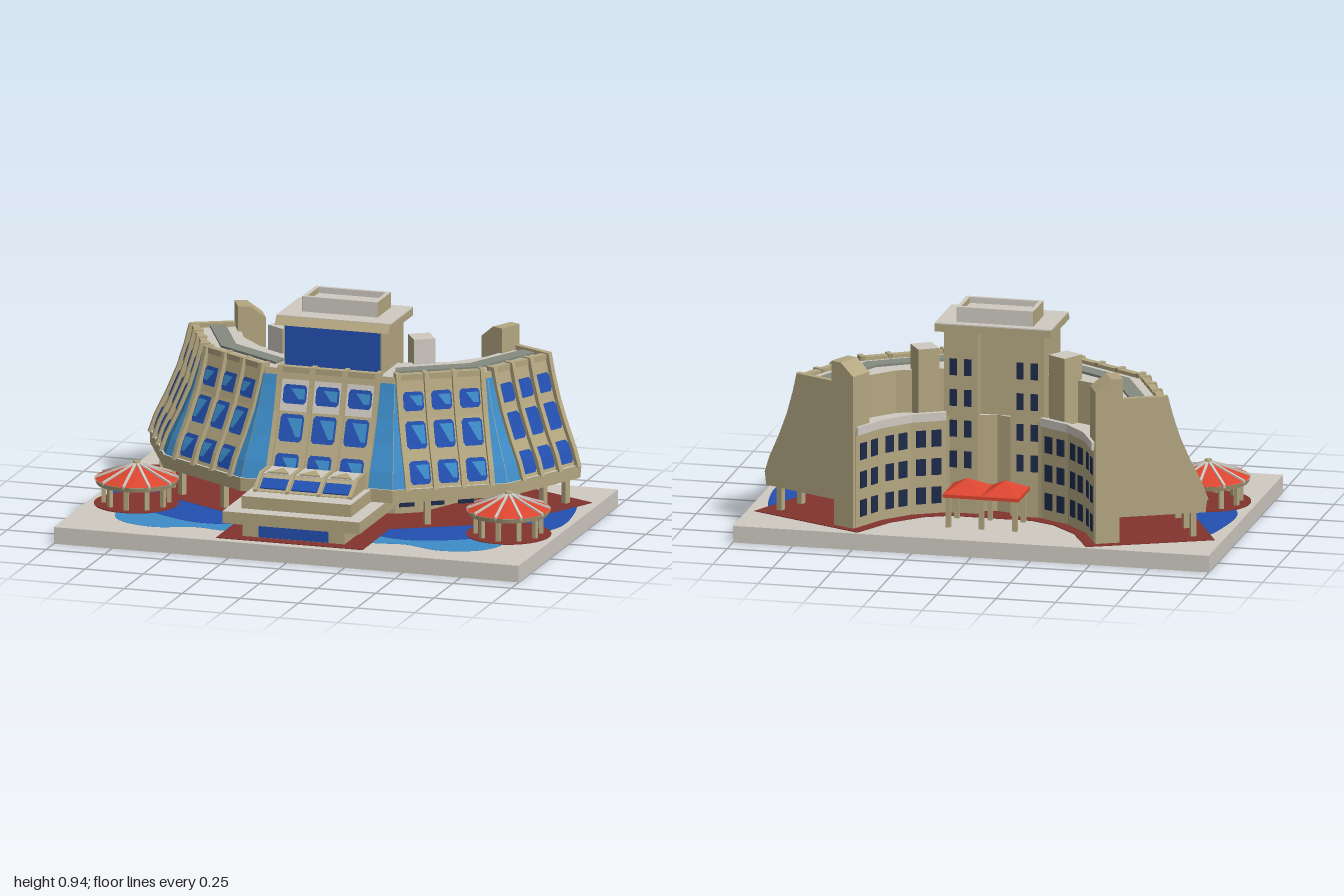
import * as THREE from 'three';

const mat = (name, color) => {
  const m = new THREE.MeshStandardMaterial({ color, side: THREE.DoubleSide });
  m.name = name;
  return m;
};

export function createModel() {
  const cream = mat('sand wall', 0xb3a680), grey = mat('pale concrete', 0xcfcac1), brick = mat('brick paving', 0x83342d),
    red = mat('red roof', 0xdb4630), blue = mat('blue glass', 0x2350b0), sky = mat('light blue glass', 0x3d8cc8),
    navy = mat('dark glass', 0x1d2a4a), slate = mat('roof walkway', 0x858b80);
  const capped = [grey, cream];
  const root = new THREE.Group();
  root.name = 'resort';

  const add = (parent, name, geo, material, x = 0, y = 0, z = 0, ry = 0) => {
    const m = new THREE.Mesh(geo, material);
    m.name = name;
    m.position.set(x, y, z);
    m.rotation.y = ry;
    parent.add(m);
    return m;
  };
  const box = (parent, name, material, x0, x1, y0, y1, z0, z1) =>
    add(parent, name, new THREE.BoxGeometry(x1 - x0, y1 - y0, z1 - z0), material, (x0 + x1) / 2, (y0 + y1) / 2, (z0 + z1) / 2);
  // Box with grey top and bottom and sand sides
  const block = (parent, name, ...d) => box(parent, name, [cream, cream, grey, grey, cream, cream], ...d);
  const shapeOf = (pts) => new THREE.Shape(pts.map((p) => new THREE.Vector2(p[0], p[1])));
  // Vertical prism over an x,z plan
  const slab = (parent, name, material, plan, y0, y1) => {
    const s = plan instanceof THREE.Shape ? plan : shapeOf(plan);
    const g = new THREE.ExtrudeGeometry(s, { depth: y1 - y0, bevelEnabled: false });
    return add(parent, name, g.rotateX(Math.PI / 2).translate(0, y1, 0), material);
  };
  // Upright plate cut from a depth,height profile
  const fin = (parent, name, material, pts, t, width) => {
    const g = new THREE.ExtrudeGeometry(shapeOf(pts), { depth: width, bevelEnabled: false });
    return add(parent, name, g.rotateY(-Math.PI / 2).translate(t + width / 2, 0, 0), material);
  };

  // Flared facade: outward offset by height
  const ys = [0.23, 0.3, 0.4, 0.5, 0.6, 0.68], offs = [0.17, 0.145, 0.095, 0.052, 0.02, 0];
  const off = (y) => {
    let i = 0;
    while (i < 4 && y > ys[i + 1]) i++;
    return offs[i] + (offs[i + 1] - offs[i]) * (y - ys[i]) / (ys[i + 1] - ys[i]);
  };
  const bays = [
    { a: 0, d: 0.075, t: 0, half: 0.21 },
    { a: 0.559, d: 0.21, t: 0.384, half: 0.178 },
    { a: 1.117, d: 0.485, t: 0.575, half: 0.16 },
  ];
  const END = 0.74;
  const local = (b, t, d) => [Math.sin(b.a) * d + Math.cos(b.a) * t, Math.cos(b.a) * d - Math.sin(b.a) * t];
  const meet = (b, c, o, o2 = o) => {
    const p = b.d + o, q = c.d + o2, k = Math.sin(b.a - c.a);
    return [(p * Math.cos(c.a) - q * Math.cos(b.a)) / k, (Math.sin(b.a) * q - Math.sin(c.a) * p) / k];
  };
  // Front edge of the half plan, pushed out by o (outer bay by o2)
  const front = (o, end = END, o2 = o) => [[0, bays[0].d + o], meet(bays[0], bays[1], o), meet(bays[1], bays[2], o, o2), local(bays[2], end, bays[2].d + o2)];
  const tOf = (b, p) => Math.cos(b.a) * p[0] - Math.sin(b.a) * p[1];
  const bounds = (i, y) => {
    const f = front(off(y)), b = bays[i];
    return i === 0 ? [-f[1][0], f[1][0]] : [tOf(b, f[i]), tOf(b, f[i + 1])];
  };
  // Skin patch following the curved facade
  const patch = (parent, name, material, b, y0, y1, range, lift) => {
    const rows = [y0, ...ys.filter((y) => y > y0 && y < y1), y1], pos = [], idx = [];
    rows.forEach((y, i) => {
      const [l, r] = range(y), z = b.d + off(y) + lift;
      pos.push(l, y, z, r, y, z);
      if (i) idx.push(2 * i - 2, 2 * i - 1, 2 * i + 1, 2 * i - 2, 2 * i + 1, 2 * i);
    });
    const g = new THREE.BufferGeometry();
    g.setAttribute('position', new THREE.Float32BufferAttribute(pos, 3));
    g.setIndex(idx);
    const flat = g.toNonIndexed();
    flat.computeVertexNormals();
    return add(parent, name, flat, material);
  };

  const makeBay = (parent, i) => {
    const b = bays[i], g = new THREE.Group(), col = b.half * 2 / 3;
    g.name = 'facadeBay';
    g.rotation.y = b.a;
    parent.add(g);
    patch(g, 'facadeWall', cream, b, 0.23, 0.665, (y) => bounds(i, y), 0);
    if (i === 0) patch(g, 'palePanel', grey, b, 0.5, 0.625, () => [-b.half, b.half], 0.003);
    // Glazed corner wedges
    patch(g, 'cornerGlass', sky, b, 0.235, 0.64, (y) => [bounds(i, y)[0], b.t - b.half], 0.004);
    if (i < 2) patch(g, 'cornerGlass', sky, b, 0.235, 0.64, (y) => [b.t + b.half, bounds(i, y)[1]], 0.004);
    // Windows in three rows and three columns, with clipped corners
    for (let c = -1; c <= 1; c++) for (const [y0, y1] of [[0.25, 0.34], [0.385, 0.49], [0.53, 0.605]]) {
      const m = b.t + c * col, w = col * 0.36;
      const trim = (y) => w - Math.max(0, 0.012 - Math.min(y - y0, y1 - y)) * 0.8;
      for (const [ya, yb] of [[y0, y0 + 0.012], [y0 + 0.012, y1 - 0.012], [y1 - 0.012, y1]])
        patch(g, 'window', blue, b, ya, yb, (y) => [m - trim(y), m + trim(y)], 0.006);
      if (i < 2) patch(g, 'windowGlint', sky, b, y0 + 0.02, y1 - 0.014, (y) => [m + w * (0.7 - 1.3 * (y - y0) / (y1 - y0)), m + w * 0.85], 0.009);
    }
    // Curved ribs
    const out = ys.map((y, k) => [b.d + offs[k] + 0.02, y]);
    const inn = ys.map((y, k) => [b.d + offs[k] - 0.025, y]).reverse();
    for (let k = 0; k < 4; k++) fin(g, 'rib', cream, [...out, ...inn], b.t - b.half + k * col, 0.02);
    box(g, 'roofBeam', cream, b.t - b.half, b.t + b.half, 0.65, 0.675, b.d - 0.02, b.d + 0.01);
    return g;
  };

  // Hollow base and ground sheet
  for (const s of [-1, 1]) {
    box(root, 'baseSide', grey, s * 0.995 - 0.005, s * 0.995 + 0.005, 0, 0.07, -0.65, 0.65);
    box(root, 'baseEdge', grey, -0.99, 0.99, 0, 0.07, s * 0.645 - 0.005, s * 0.645 + 0.005);
  }
  box(root, 'ground', grey, -0.99, 0.99, 0.068, 0.07, -0.645, 0.645);
  makeBay(root, 0);

  const backLine = [[0.5, -0.575], [0.43, -0.43], [0.33, -0.32], [0.2, -0.25]];
  const midLine = [[0.59, -0.535], [0.52, -0.37], [0.41, -0.25], [0.22, -0.17]];
  for (const side of [1, -1]) {
    const h = new THREE.Group();
    h.name = side > 0 ? 'leftHalf' : 'rightHalf';
    h.scale.x = side;
    root.add(h);

    // Pools and paving
    const curve = (pts) => new THREE.Shape(new THREE.CatmullRomCurve3(pts.map((p) => new THREE.Vector3(p[0], p[1], 0)), true).getPoints(60).map((p) => new THREE.Vector2(p.x, p.y)));
    slab(h, 'shallowPool', sky, curve([[0.25, 0.3], [0.3, 0.48], [0.45, 0.47], [0.62, 0.52], [0.78, 0.46], [0.83, 0.33], [0.7, 0.15], [0.4, 0.15]]), 0.067, 0.071);
    slab(h, 'deepPool', blue, curve([[0.25, 0.15], [0.3, 0.36], [0.45, 0.4], [0.6, 0.35], [0.75, 0.25], [0.95, 0.05], [0.955, -0.2], [0.9, -0.36], [0.65, -0.1]]), 0.066, 0.072);
    slab(h, 'paving', brick, [[0, 0.61], [0.315, 0.61], [0.315, 0.26], ...front(0.205, END + 0.05).slice(2), [0.48, -0.635], [0.385, -0.45], [0.27, -0.335], [0.17, -0.29], [0, -0.29]], 0.065, 0.073);

    // Main volumes; the ground floor is recessed under the eave
    slab(h, 'groundFloor', capped, [...front(-0.055, END, -0.185), ...backLine, [0, -0.18]], 0.07, 0.2);
    slab(h, 'middleWing', capped, [...front(-0.005), ...backLine, [0, -0.18]], 0.18, 0.48);
    slab(h, 'upperWing', capped, [...front(-0.005), ...midLine, [0, -0.17]], 0.48, 0.66);
    slab(h, 'eaveSlab', capped, [...front(0.18), local(bays[2], END, 0.3), [0.3, 0], [0, 0]], 0.18, 0.235);
    slab(h, 'roofWalkway', slate, [...front(-0.065).slice(1), ...front(-0.13).slice(1).reverse()], 0.655, 0.67);
    makeBay(h, 1);
    const outer = makeBay(h, 2);

    // End wall and sloped stair head
    const wall = ys.map((y, k) => [bays[2].d + offs[k] + 0.012, y]);
    fin(outer, 'endWall', cream, [[0.2, 0.07], [0.3, 0.07], [0.3, 0.18], [0.66, 0.18], ...wall, [0.2, 0.68]], END, 0.025);
    fin(outer, 'stairHead', cream, [[0.2, 0.45], [0.2, 0.715], [0.265, 0.765], [0.315, 0.765], [0.315, 0.45]], 0.7, 0.105);
    // Angled stair tower with a pale front face
    add(h, 'stairTower', new THREE.BoxGeometry(0.09, 0.695, 0.1), [cream, cream, grey, grey, grey, cream], 0.295, 0.4175, -0.225, 0.559);

    // Ground floor windows and posts
    for (const [i, d, posts] of [[1, 0.155, [0.3, 0.57]], [2, 0.3, [0.42, 0.58, 0.71]]]) {
      const g = new THREE.Group(), b = bays[i];
      g.name = 'groundFloorFront';
      g.rotation.y = b.a;
      h.add(g);
      for (let c = -1; c <= 1; c++) {
        const t = b.t + c * 0.125;
        box(g, 'groundWindow', navy, t - 0.033, t + 0.033, 0.1, 0.177, d - 0.004, d + 0.004);
      }
      for (const t of posts) box(g, 'eavePost', cream, t - 0.012, t + 0.012, 0.07, 0.18, b.d + 0.12, b.d + 0.145);
    }

    // Rear windows and terrace edge along each wall segment
    for (let k = 0; k < 3; k++) {
      const [ax, az] = backLine[k], [bx, bz] = backLine[k + 1], len = Math.hypot(bx - ax, bz - az);
      const ry = Math.atan2(az - bz, bx - ax);
      add(h, 'terraceRim', new THREE.BoxGeometry(len, 0.035, 0.02), grey, (ax + bx) / 2, 0.482, (az + bz) / 2, ry);
      for (const f of [0.28, 0.72]) for (const y of [0.15, 0.27, 0.39])
        add(h, 'rearWindow', new THREE.BoxGeometry(0.04, 0.07, 0.008), navy, ax + (bx - ax) * f, y, az + (bz - az) * f, ry);
    }

    // Central tower flank with rear windows
    block(h, 'towerFlank', 0.07, 0.21, 0.07, 0.84, -0.245, 0.04);
    for (const x of [0.11, 0.17]) for (const y of [0.3, 0.43, 0.56, 0.69])
      box(h, 'towerWindow', navy, x - 0.015, x + 0.015, y - 0.035, y + 0.035, -0.249, -0.243);

    // Round pavilion
    const p = new THREE.Group();
    p.name = 'pavilion';
    p.position.set(0.8, 0, 0.175);
    h.add(p);
    add(p, 'pavilionFloor', new THREE.CylinderGeometry(0.175, 0.175, 0.01, 30), brick, 0, 0.069, 0);
    add(p, 'pavilionRoof', new THREE.CylinderGeometry(0.012, 0.17, 0.06, 30, 1), red, 0, 0.207, 0);
    add(p, 'pavilionEave', new THREE.CylinderGeometry(0.173, 0.165, 0.02, 30), cream, 0, 0.167, 0);
    add(p, 'pavilionCap', new THREE.CylinderGeometry(0.014, 0.02, 0.022, 10), cream, 0, 0.24, 0);
    for (let k = 0; k < 10; k++) {
      const spoke = new THREE.Group();
      spoke.name = 'pavilionSpoke';
      spoke.rotation.y = k * Math.PI / 5;
      p.add(spoke);
      fin(spoke, 'roofRib', grey, [[0.01, 0.23], [0.172, 0.17], [0.172, 0.184], [0.01, 0.244]], 0, 0.01);
      box(spoke, 'pavilionPost', cream, -0.009, 0.009, 0.07, 0.165, 0.125, 0.143);
    }
  }

  // Central tower core, glass front, cornice and penthouse rim
  block(root, 'towerCore', -0.07, 0.07, 0.07, 0.84, -0.18, 0.04);
  box(root, 'towerGlass', blue, -0.205, 0.205, 0.665, 0.84, 0.04, 0.046);
  fin(root, 'cornice', cream, [[-0.265, 0.84], [0.06, 0.84], [0.035, 0.873], [-0.265, 0.873]], 0, 0.49);
  box(root, 'corniceRoof', grey, -0.245, 0.245, 0.871, 0.876, -0.265, 0.034);
  box(root, 'penthouseRoof', grey, -0.15, 0.15, 0.875, 0.915, -0.225, -0.055);
  for (const s of [-1, 1]) {
    block(root, 'penthouseRim', s * 0.153 - 0.009, s * 0.153 + 0.009, 0.875, 0.94, -0.229, -0.051);
    box(root, 'penthouseRim', grey, -0.161, 0.161, 0.875, 0.94, -0.14 + s * 0.081 - 0.009, -0.14 + s * 0.081 + 0.009);
  }

  // Front podium with stepped slabs and sloped glazing
  block(root, 'podiumBase', -0.22, 0.22, 0.07, 0.13, 0.34, 0.555);
  box(root, 'entranceGlass', blue, -0.15, 0.15, 0.075, 0.128, 0.553, 0.56);
  block(root, 'podiumSlab', -0.295, 0.295, 0.13, 0.18, 0, 0.59);
  block(root, 'podiumStep', -0.235, 0.235, 0.18, 0.232, 0, 0.52);
  fin(root, 'skylightHouse', cream, [[0.1, 0.18], [0.1, 0.285], [0.35, 0.285], [0.43, 0.235], [0.43, 0.18]], 0, 0.42);
  box(root, 'skylightRoof', grey, -0.21, 0.21, 0.284, 0.29, 0.1, 0.35);
  for (const x of [-0.135, 0, 0.135]) {
    fin(root, 'slopedGlass', blue, [[0.37, 0.27], [0.372, 0.277], [0.42, 0.247], [0.418, 0.24]], x, 0.11);
    slab(root, 'skylight', cream, [[x - 0.045, 0.345], [x + 0.045, 0.345], [x, 0.265]], 0.289, 0.296);
  }
  for (const x of [-0.205, -0.068, 0.068, 0.205]) fin(root, 'skylightRib', cream, [[0.25, 0.285], [0.25, 0.297], [0.355, 0.297], [0.44, 0.243], [0.44, 0.23]], x, 0.015);

  // Rear canopy with two pyramid roofs
  for (const x of [-0.08, 0.08]) {
    const roof = new THREE.ConeGeometry(Math.SQRT1_2, 0.05, 4, 1).toNonIndexed().rotateY(Math.PI / 4).scale(0.16, 1, 0.2);
    roof.computeVertexNormals();
    add(root, 'canopyRoof', roof, red, x, 0.235, -0.38);
  }
  box(root, 'canopyEdge', red, -0.16, 0.16, 0.198, 0.212, -0.48, -0.28);
  for (const x of [-0.14, 0, 0.14]) for (const z of [-0.46, -0.31]) box(root, 'canopyPost', cream, x - 0.01, x + 0.01, 0.07, 0.2, z - 0.01, z + 0.01);

  return root;
}
